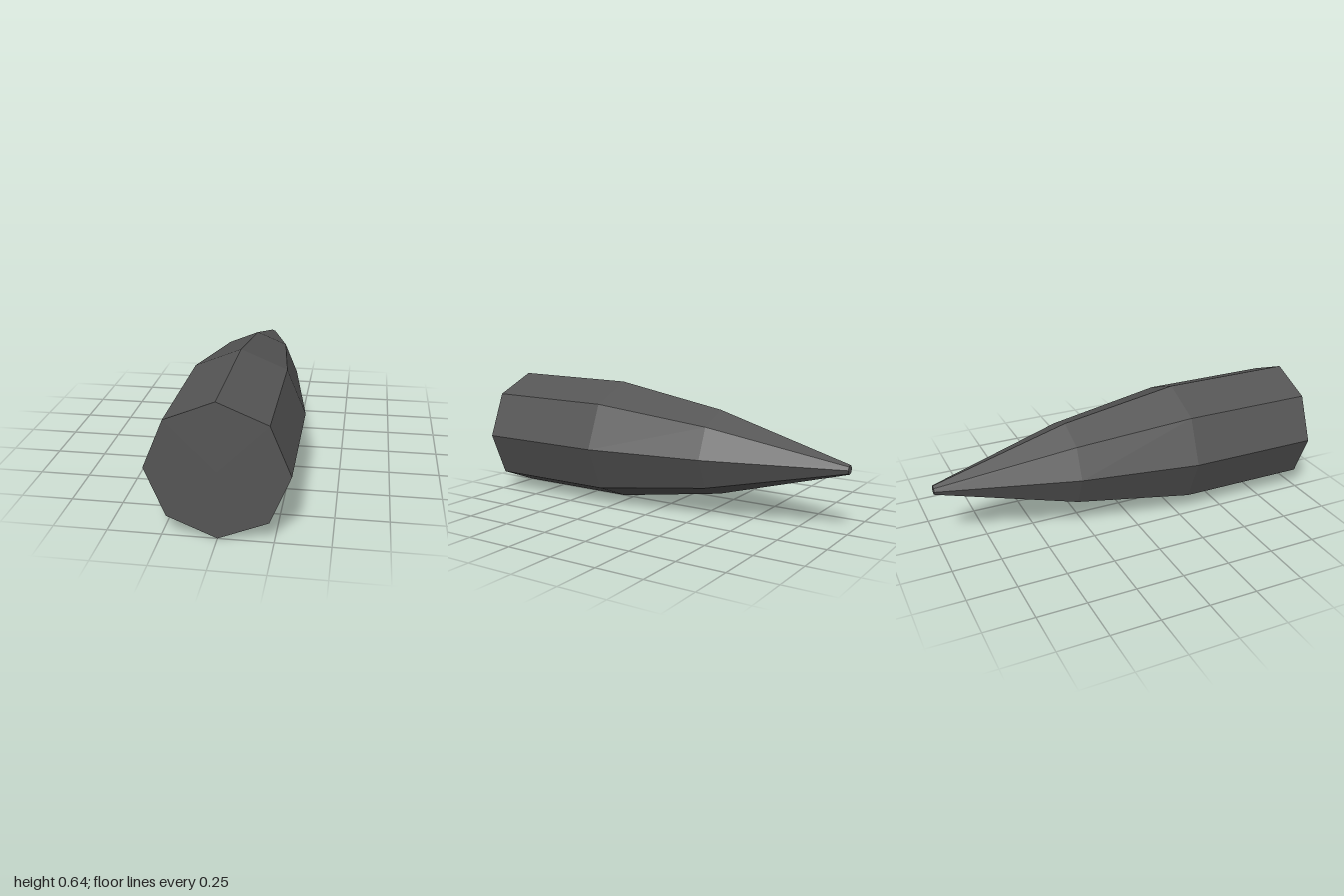
import * as THREE from 'three';

export function createModel() {
  const group = new THREE.Group();
  group.name = 'bullet';

  const darkGrey = new THREE.MeshStandardMaterial({ color: 0x555555, flatShading: true });
  darkGrey.name = 'darkGrey';

  const R = 0.322;
  const SIDES = 8;

  // Spin a [radius, height] profile into an eight-sided part, pointing to the back (-z)
  function addPart(name, profile) {
    const points = profile.map(([r, h]) => new THREE.Vector2(r, h));
    const geometry = new THREE.LatheGeometry(points, SIDES);
    geometry.rotateX(-Math.PI / 2);
    geometry.translate(0, R, 0);
    const mesh = new THREE.Mesh(geometry, darkGrey);
    mesh.name = name;
    group.add(mesh);
  }

  // Straight casing with its flat base
  addPart('casing', [[0, -1], [R, -1], [R, -0.31]]);
  // Nose tapering in two steps to a small blunt tip
  addPart('nose', [[R, -0.31], [0.222, 0.3], [0.024, 1], [0, 1]]);

  return group;
}
